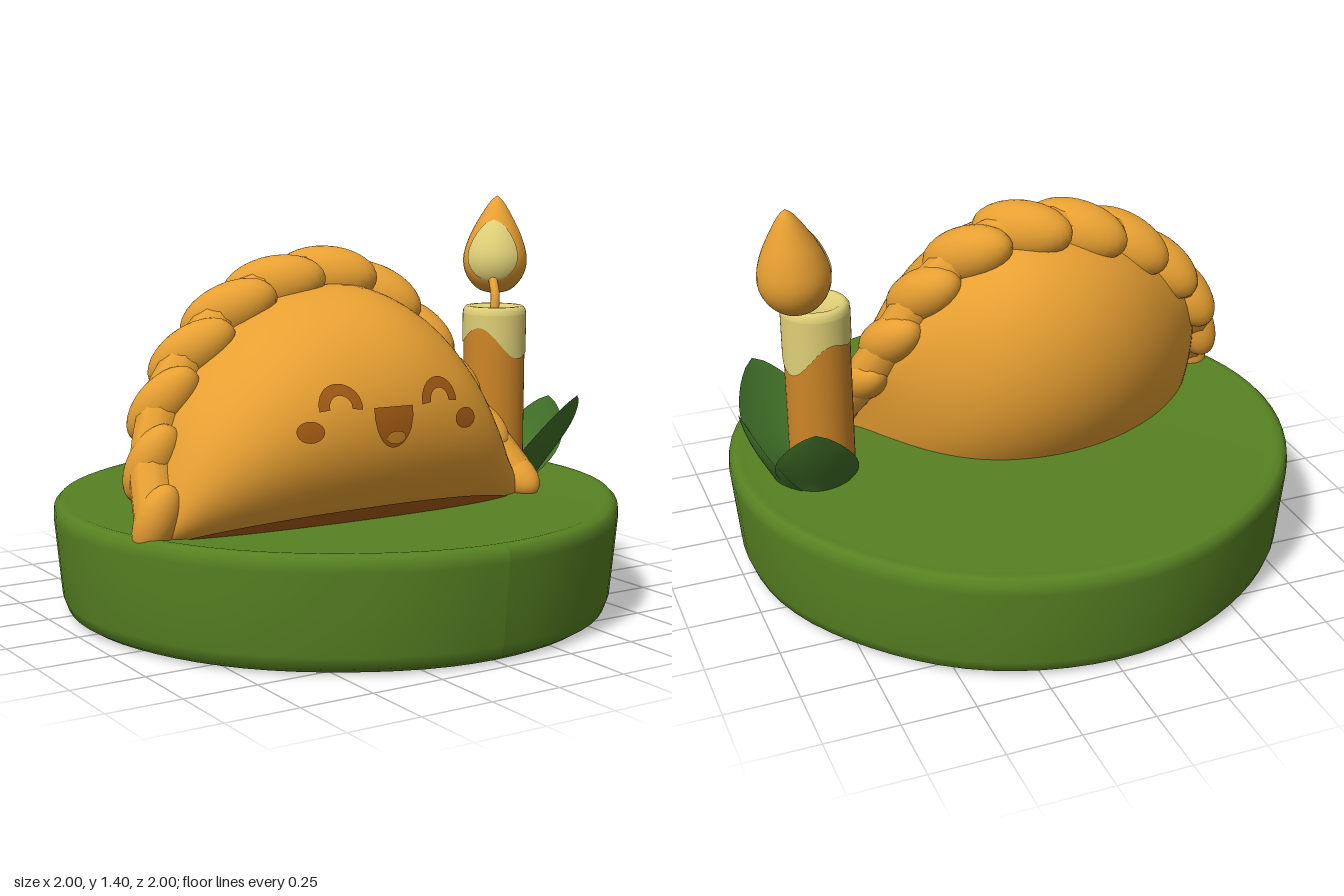
import * as THREE from 'three';

const mat = (name, color, side = THREE.FrontSide) => {
  const m = new THREE.MeshStandardMaterial({ color, side });
  m.name = name;
  return m;
};
const V = (x, y, z) => new THREE.Vector3(x, y, z);
const lerp = THREE.MathUtils.lerp;

// Surface from a rule p(u, v), u and v in 0..1; front side is du x dv
function grid(nu, nv, p) {
  const pos = [], idx = [];
  for (let j = 0; j <= nv; j++)
    for (let i = 0; i <= nu; i++) pos.push(...p(i / nu, j / nv).toArray());
  for (let j = 0; j < nv; j++)
    for (let i = 0; i < nu; i++) {
      const a = j * (nu + 1) + i, b = a + 1, c = a + nu + 1, d = c + 1;
      idx.push(a, b, d, a, d, c);
    }
  const g = new THREE.BufferGeometry();
  g.setAttribute('position', new THREE.Float32BufferAttribute(pos, 3));
  g.setIndex(idx);
  g.computeVertexNormals();
  return g;
}

// Crimped seam running over the dumpling from tip to tip
const seam = new THREE.CatmullRomCurve3([
  V(-0.86, 0.43, 0.31), V(-0.81, 0.6, 0.18), V(-0.72, 0.78, 0.1), V(-0.58, 0.93, 0.05),
  V(-0.4, 1.06, 0.01), V(-0.2, 1.13, -0.01), V(0, 1.14, 0), V(0.17, 1.06, 0.02),
  V(0.3, 0.93, 0.05), V(0.4, 0.78, 0.08), V(0.48, 0.63, 0.14), V(0.56, 0.44, 0.28)]);

// Dumpling skin: each section is a Bezier from the seam (k = 0) to the plate (k = 1)
function skin(t, k, front) {
  const s = seam.getPoint(t), w = Math.pow(Math.max(0, Math.sin(Math.PI * t)), front ? 1 : 1.5);
  const pts = front
    ? [[s.y - 0.03, s.z], [s.y + 0.05 * w, s.z + 0.45 * w], [0.38 + (s.y - 0.38) * 0.45, 0.33 + 0.42 * w], [0.37, 0.33 + 0.09 * w]]
    : [[s.y - 0.03, s.z], [s.y + 0.02 * w, s.z - 0.25 * w], [0.38 + (s.y - 0.38) * 0.45, 0.28 - 0.75 * w], [0.36, 0.28 - 0.5 * w]];
  const q = 1 - k, b = [q * q * q, 3 * q * q * k, 3 * q * k * k, k * k * k];
  const sum = i => pts.reduce((a, p, n) => a + b[n] * p[i], 0);
  return V(s.x, sum(0), sum(1));
}

// Point on the front skin at a given x and y
function onFace(x, y, lift) {
  let a = 0, b = 1;
  for (let i = 0; i < 24; i++) { const m = (a + b) / 2; if (seam.getPoint(m).x < x) a = m; else b = m; }
  const t = a;
  a = 0.15; b = 1;
  for (let i = 0; i < 24; i++) { const m = (a + b) / 2; if (skin(t, m, true).y > y) a = m; else b = m; }
  const p = skin(t, a, true);
  return V(x, y, p.z + lift);
}

export function createModel() {
  const model = new THREE.Group();
  model.name = 'dumplingWithCandle';
  const dough = mat('dough orange', 0xe8a032);
  const brown = mat('baked brown', 0xa65c14, THREE.DoubleSide);
  const wax = mat('wax orange', 0xcc8526);
  const cream = mat('cream', 0xe0d077, THREE.DoubleSide);
  const green = mat('plate green', 0x578222);
  const leafGreen = mat('leaf green', 0x43752a, THREE.DoubleSide);
  const add = (name, geo, m, parent = model) => {
    const mesh = new THREE.Mesh(geo, m);
    mesh.name = name;
    parent.add(mesh);
    return mesh;
  };
  const lathe = (pts, n = 40) => new THREE.LatheGeometry(pts.map(p => new THREE.Vector2(...p)), n);

  // Round plate with a slightly uneven rim
  const plate = lathe([[0, 0], [0.9, 0], [0.93, 0.004], [0.955, 0.02], [0.97, 0.06], [0.983, 0.2],
    [0.995, 0.33], [0.992, 0.362], [0.975, 0.38], [0.95, 0.382], [0.92, 0.376], [0, 0.376]], 72);
  const pp = plate.attributes.position;
  for (let i = 0; i < pp.count; i++) {
    const a = Math.atan2(pp.getZ(i), pp.getX(i));
    const k = 1 + 0.006 * Math.cos(4 * a) + 0.004 * Math.sin(7 * a) * Math.sin(2 * a);
    pp.setX(i, pp.getX(i) * k);
    pp.setZ(i, pp.getZ(i) * k);
  }
  plate.computeVertexNormals();
  add('plate', plate, green);

  // Dumpling body, with a baked strip along the front foot
  const dumpling = new THREE.Group();
  dumpling.name = 'dumpling';
  model.add(dumpling);
  add('bodyFront', grid(56, 28, (u, v) => skin(u, 1 - v, true)), dough, dumpling);
  add('bodyBack', grid(56, 28, (u, v) => skin(1 - u, 1 - v, false)), dough, dumpling);
  add('bakedFoot', grid(40, 4, (u, v) => {
    const top = 0.945 + 0.04 * Math.pow(Math.abs(2 * u - 1), 4);
    return skin(lerp(0.1, 0.92, u), lerp(1, top, v), true).add(V(0, -0.002, 0.007));
  }), brown, dumpling);

  // Rope crimp: slanted overlapping lobes around a core
  add('crimpCore', new THREE.TubeGeometry(seam, 60, 0.075, 10), dough, dumpling);
  const lobes = 12, ball = new THREE.SphereGeometry(1, 24, 16);
  for (let i = 0; i < lobes; i++) {
    const t = i / (lobes - 1), T = seam.getTangentAt(t);
    const size = lerp(0.72, 1.04, Math.sin(Math.PI * t));
    const X = T.clone().multiplyScalar(0.75).add(V(0, 0, 0.6)).normalize();
    const Y = V(-T.y, T.x, 0).normalize();
    Y.addScaledVector(X, -Y.dot(X)).normalize();
    const lobe = add('crimpLobe', ball, dough, dumpling);
    lobe.quaternion.setFromRotationMatrix(new THREE.Matrix4().makeBasis(X, Y, X.clone().cross(Y)));
    lobe.scale.set(0.175, 0.1, 0.092).multiplyScalar(size);
    lobe.position.copy(seam.getPointAt(t));
  }

  // Face: smiling eyes, cheeks and open mouth laid on the skin
  const patch = (name, m, nu, nv, f, lift = 0.008) =>
    add(name, grid(nu, nv, (u, v) => onFace(...f(u, v), lift)), m, dumpling);
  const disc = (cx, cy, rx, ry) => (u, v) => {
    const a = -2 * Math.PI * u;
    return [cx + rx * v * Math.cos(a), cy + ry * v * Math.sin(a)];
  };
  for (const [ex, cx] of [[-0.32, -0.43], [0.05, 0.16]]) {
    patch('eye', brown, 16, 3, (u, v) => {
      const a = Math.PI * lerp(1.04, -0.04, u), r = lerp(0.038, 0.074, v);
      return [ex + r * Math.cos(a), 0.775 + r * Math.sin(a)];
    });
    patch('cheek', brown, 24, 4, disc(cx, 0.705, 0.046, 0.034));
  }
  patch('mouth', brown, 20, 6, (u, v) => {
    const x = lerp(-1, 1, u), low = 0.635 + 0.115 * (1 - Math.sqrt(1 - x * x * 0.98));
    return [-0.135 + 0.072 * x, lerp(low, 0.768, v)];
  });
  patch('tongue', wax, 20, 3, disc(-0.13, 0.668, 0.036, 0.022), 0.012);

  // Candle with melted cream top
  const candle = new THREE.Group();
  candle.name = 'candle';
  candle.position.set(0.695, 0, -0.012);
  model.add(candle);
  add('candleStick', lathe([[0.113, 0.37], [0.113, 0.96], [0.1, 0.985], [0, 0.985]]), wax, candle);
  add('meltedWax', grid(48, 8, (u, v) => {
    const a = -2 * Math.PI * u;
    const low = 0.85 - 0.055 * Math.cos(a) + 0.03 * Math.sin(3 * a);
    return V(0.117 * Math.cos(a), lerp(low, 0.975, v), 0.117 * Math.sin(a));
  }), cream, candle);
  add('candleTop', lathe([[0.117, 0.97], [0.115, 0.99], [0.105, 1.003], [0.09, 1.003], [0.07, 0.992], [0, 0.99]]), cream, candle);
  add('wick', new THREE.TubeGeometry(new THREE.CatmullRomCurve3(
    [V(0, 0.98, 0), V(0.01, 1.04, -0.01), V(0.03, 1.09, -0.05), V(0.06, 1.12, -0.09)]), 14, 0.017, 8), dough, candle);

  // Teardrop flame with a pale glow on its front left
  const flame = new THREE.Group();
  flame.name = 'flame';
  flame.position.set(0.78, 1.035, -0.13);
  flame.rotation.set(-0.08, 0, -0.09);
  model.add(flame);
  const drop = new THREE.SplineCurve([[0, 0], [0.06, 0.015], [0.105, 0.065], [0.12, 0.13], [0.1, 0.21],
    [0.06, 0.29], [0.025, 0.345], [0, 0.368]].map(p => new THREE.Vector2(...p)));
  add('flameBody', new THREE.LatheGeometry(drop.getPoints(32).map(p => p.setX(Math.max(0, p.x))), 32), dough, flame);
  add('flameGlow', grid(16, 16, (u, v) => {
    const p = drop.getPoint(lerp(0.22, 0.68, v));
    const a = -0.75 + lerp(-0.85, 0.85, u) * Math.sqrt(Math.max(0, 1 - (2 * v - 1) ** 2));
    return V((p.x + 0.005) * Math.sin(a), p.y, (p.x + 0.005) * Math.cos(a));
  }), cream, flame);

  // Cupped leaves around the candle foot: [angle, reach, height, width]
  for (const [deg, reach, height, width] of [[66, 0.33, 0.32, 0.15], [-4, 0.26, 0.27, 0.16], [-76, 0.32, 0.31, 0.14]]) {
    const a = THREE.MathUtils.degToRad(deg);
    const out = V(Math.cos(a), 0, Math.sin(a)), side = V(-Math.sin(a), 0, Math.cos(a));
    add('leaf', grid(14, 16, (u, v) => {
      const s = 2 * u - 1, w = width * Math.pow(Math.max(0, Math.sin(Math.PI * (0.22 + 0.78 * v))), 0.7);
      const r = lerp(0.15, reach, Math.pow(v, 1.2)) - 0.06 * s * s * (1 - v) + 0.02 * Math.sin(Math.PI * v);
      return V(0.72, 0.37 + height * v, -0.02).addScaledVector(out, r).addScaledVector(side, s * w);
    }), leafGreen);
  }
  return model;
}
